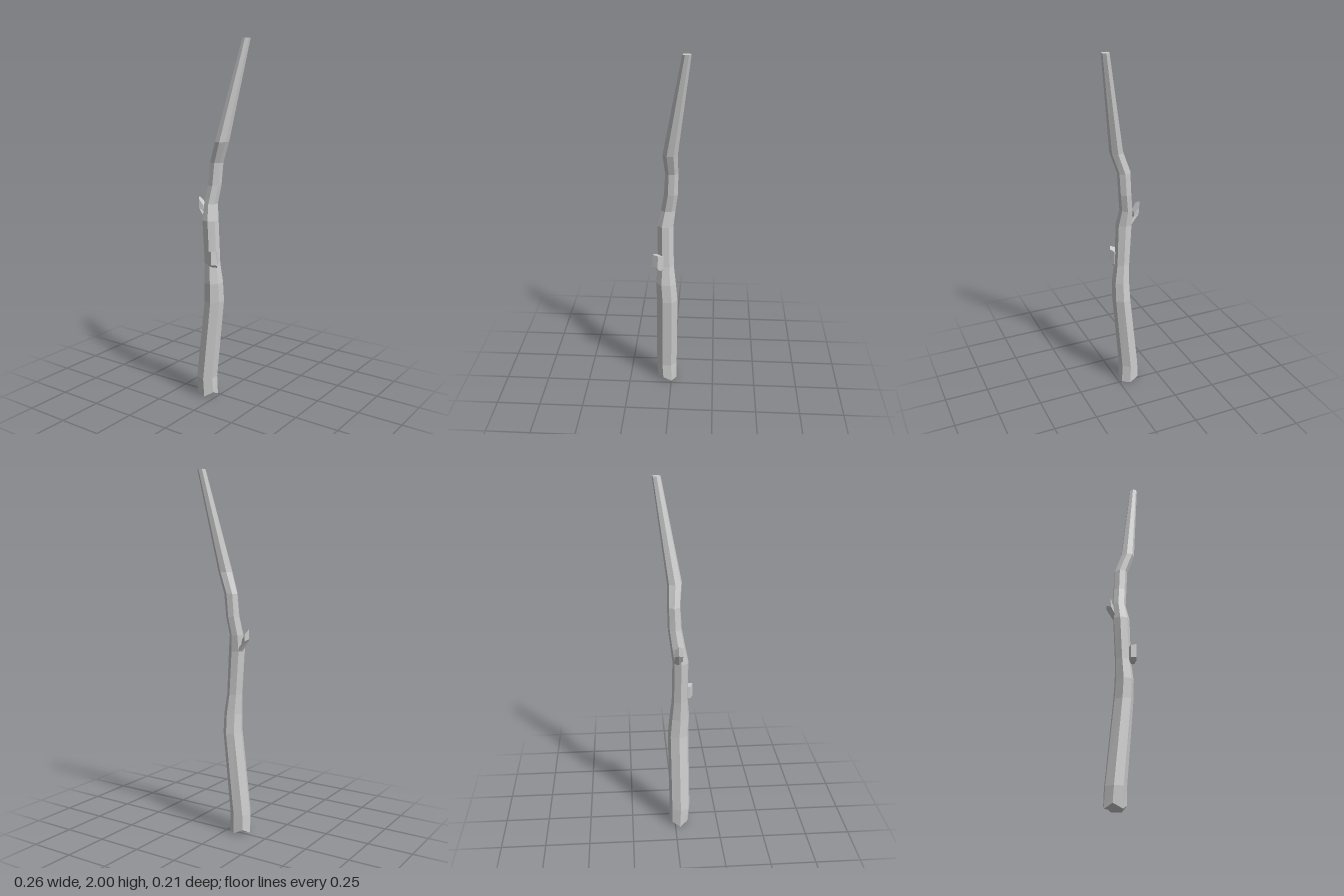
import * as THREE from 'three';

const material = new THREE.MeshStandardMaterial({ color: 0xcccccc, flatShading: true });

// Lofts a closed faceted limb through rings; each ring is
// { c: [x, y, z], rx, rz, tilt: [slope in x, slope in z], lift: { corner: height } }
function limb(name, sides, startDegrees, rings) {
  const positions = [];
  const index = [];
  for (const { c, rx, rz = rx, tilt = [0, 0], lift = {} } of rings) {
    for (let k = 0; k < sides; k++) {
      const a = THREE.MathUtils.degToRad(startDegrees - (360 * k) / sides);
      const dx = rx * Math.cos(a);
      const dz = rz * Math.sin(a);
      positions.push(c[0] + dx, c[1] + tilt[0] * dx + tilt[1] * dz + (lift[k] || 0), c[2] + dz);
    }
  }
  // side walls
  for (let r = 0; r < rings.length - 1; r++) {
    for (let k = 0; k < sides; k++) {
      const a = r * sides + k;
      const b = r * sides + ((k + 1) % sides);
      index.push(a, b, b + sides, a, b + sides, a + sides);
    }
  }
  // end caps
  const last = (rings.length - 1) * sides;
  const bottom = positions.length / 3;
  positions.push(...rings[0].c, ...rings[rings.length - 1].c);
  for (let k = 0; k < sides; k++) {
    const n = (k + 1) % sides;
    index.push(bottom, n, k, bottom + 1, last + k, last + n);
  }
  const geometry = new THREE.BufferGeometry();
  geometry.setAttribute('position', new THREE.Float32BufferAttribute(positions, 3));
  geometry.setIndex(index);
  geometry.computeVertexNormals();
  const mesh = new THREE.Mesh(geometry, material);
  mesh.name = name;
  return mesh;
}

export function createModel() {
  const group = new THREE.Group();
  group.name = 'woodenStick';

  // crooked main shaft: height, min x, max x, min z, max z
  const shaft = [
    [0, -0.132, -0.013, -0.03, 0.08],
    [0.11, -0.128, -0.017, -0.03, 0.088],
    [0.57, -0.075, 0.026, -0.036, 0.082],
    [0.68, -0.07, 0.025, -0.026, 0.086],
    [0.79, -0.072, 0.01, -0.014, 0.076],
    [1.03, -0.087, 0.001, -0.011, 0.077],
    [1.12, -0.084, -0.014, -0.022, 0.058],
    [1.22, -0.07, 0.0, -0.035, 0.04],
    [1.345, -0.062, 0.01, -0.038, 0.033],
    [1.46, -0.022, 0.05, -0.036, 0.044],
    [2, 0.088, 0.13, -0.105, -0.06],
  ].map(([y, x0, x1, z0, z1]) => ({
    c: [(x0 + x1) / 2, y, (z0 + z1) / 2],
    rx: (x1 - x0) / 1.91,
    rz: (z1 - z0) / 1.95,
  }));
  shaft[0].lift = { 1: 0.025, 4: 0.025, 6: 0.025 }; // ragged broken end
  group.add(limb('shaft', 7, 75, shaft));

  // splintered twig on the right side
  group.add(limb('sideTwig', 5, 180, [
    { c: [-0.065, 1.03, 0.02], rx: 0.02, rz: 0.022 },
    { c: [-0.106, 1.085, 0.018], rx: 0.022, rz: 0.025, tilt: [-0.7, 0] },
    { c: [-0.108, 1.125, 0.018], rx: 0.02, rz: 0.024, tilt: [-1.5, 0.3] },
  ]));

  // short knobbly twig at the front
  group.add(limb('frontTwig', 5, 72, [
    { c: [0.003, 0.775, 0.062], rx: 0.02, rz: 0.018, tilt: [0, 0.2] },
    { c: [0.003, 0.79, 0.073], rx: 0.026, rz: 0.033, tilt: [0, 0.2] },
    { c: [0.003, 0.864, 0.072], rx: 0.024, rz: 0.033, tilt: [0.2, 0.2] },
  ]));

  return group;
}
